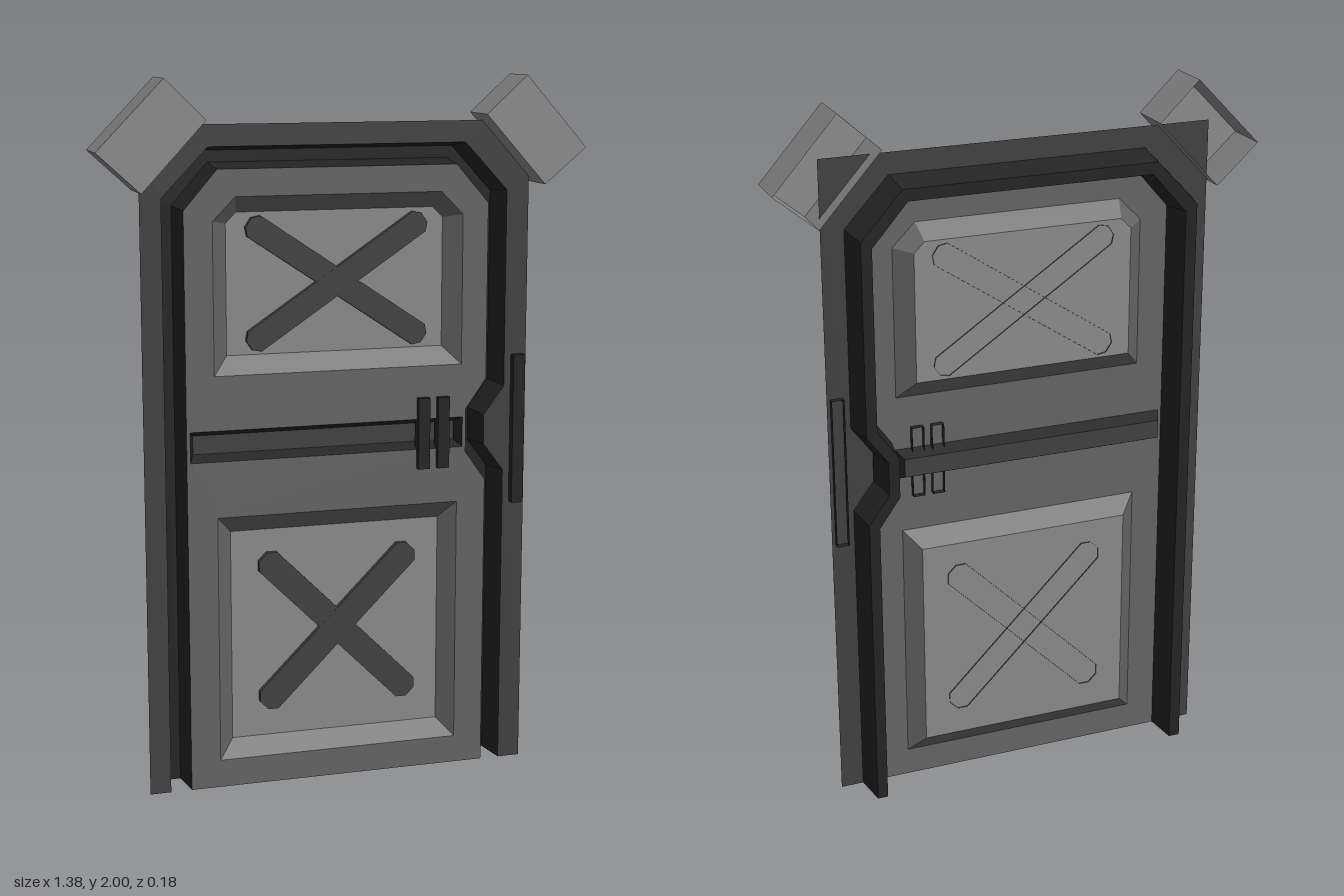
import * as THREE from 'three';

const mat = (name, color) => {
  const m = new THREE.MeshStandardMaterial({ color, side: THREE.DoubleSide });
  m.name = name;
  return m;
};

// Wall of quads between two matching outlines at two depths
function band(a, za, b, zb, closed = true) {
  const pos = [];
  const n = a.length;
  for (let i = 0; i < (closed ? n : n - 1); i++) {
    const j = (i + 1) % n;
    pos.push(...a[i], za, ...a[j], za, ...b[j], zb);
    pos.push(...a[i], za, ...b[j], zb, ...b[i], zb);
  }
  const g = new THREE.BufferGeometry();
  g.setAttribute('position', new THREE.Float32BufferAttribute(pos, 3));
  g.computeVertexNormals();
  return g;
}

// Flat sheet with optional holes
function sheet(outline, z, holes = []) {
  const toV = (l) => l.map(([x, y]) => new THREE.Vector2(x, y));
  const s = new THREE.Shape(toV(outline));
  holes.forEach((h) => s.holes.push(new THREE.Path(toV(h))));
  return new THREE.ShapeGeometry(s).translate(0, 0, z);
}

// Counter-clockwise rectangle with optional cut top corners
function rect(x0, x1, y0, y1, c = 0) {
  return c
    ? [[x0, y0], [x1, y0], [x1, y1 - c], [x1 - c, y1], [x0 + c, y1], [x0, y1 - c]]
    : [[x0, y0], [x1, y0], [x1, y1], [x0, y1]];
}

// Bar with cut ends, turned about its centre
function barOutline(cx, cy, L, w, angle) {
  const k = w * 0.45, e = L - w * 0.55;
  const ca = Math.cos(angle), sa = Math.sin(angle);
  return [[-e, -w], [e, -w], [L, -k], [L, k], [e, w], [-e, w], [-L, k], [-L, -k]]
    .map(([x, y]) => [cx + x * ca - y * sa, cy + x * sa + y * ca]);
}

export function createModel() {
  const model = new THREE.Group();
  const pale = mat('pale grey', 0x8a8a8a);
  const mid = mat('door grey', 0x646464);
  const dark = mat('frame grey', 0x414141);
  const black = mat('near black', 0x242424);

  const add = (name, geo, material, parent = model) => {
    const m = new THREE.Mesh(geo, material);
    m.name = name;
    parent.add(m);
  };
  // Open-backed raised block
  const raised = (name, outline, z0, z1, material) => {
    const g = new THREE.Group();
    g.name = name;
    add(name + 'Sides', band(outline, z0, outline, z1), material, g);
    add(name + 'Front', sheet(outline, z1), material, g);
    model.add(g);
  };

  const Z = 0.006;
  // Groove edges, from bottom right up and over to bottom left
  const frameEdge = [[0.49, 0], [0.49, 0.875], [0.43, 0.955], [0.43, 1.04], [0.49, 1.12],
    [0.49, 1.68], [0.365, 1.815], [-0.37, 1.815], [-0.5, 1.68], [-0.5, 0]];
  const doorEdge = [[0.435, 0], [0.435, 0.85], [0.375, 0.935], [0.375, 1.06], [0.435, 1.145],
    [0.435, 1.645], [0.34, 1.755], [-0.345, 1.755], [-0.44, 1.645], [-0.44, 0]];
  const mix = (t) => frameEdge.map(([x, y], i) =>
    [x + (doorEdge[i][0] - x) * t, y + (doorEdge[i][1] - y) * t]);

  // Frame plate
  add('framePlate', sheet([[0.49, 0], [0.555, 0], [0.555, 1.875], [-0.56, 1.875], [-0.56, 0],
    ...frameEdge.slice().reverse().slice(0, -1)], Z), dark);

  // Deep groove around the door
  const g1 = mix(0.25), g2 = mix(0.8);
  add('grooveOuterWall', band(frameEdge, Z, g1, -0.092, false), black);
  add('grooveFloor', band(g1, -0.092, g2, -0.092, false), black);
  add('grooveInnerWall', band(g2, -0.092, doorEdge, Z, false), black);

  // Door sheet with recessed panels and a middle channel
  const recesses = [
    { name: 'upperPanel', o: rect(-0.36, 0.36, 1.19, 1.68, 0.065),
      i: rect(-0.315, 0.312, 1.24, 1.635, 0.03), z: -0.032, wall: mid, floor: pale },
    { name: 'lowerPanel', o: rect(-0.355, 0.35, 0.08, 0.79),
      i: rect(-0.31, 0.305, 0.13, 0.74), z: -0.032, wall: mid, floor: pale },
    { name: 'middleChannel', o: rect(-0.43, 0.365, 0.95, 1.037),
      i: rect(-0.415, 0.35, 0.967, 1.02), z: -0.03, wall: black, floor: dark },
  ];
  add('doorSheet', sheet(doorEdge, Z, recesses.map((r) => r.o)), mid);
  for (const r of recesses) {
    add(r.name + 'Bevel', band(r.o, Z, r.i, r.z), r.wall);
    add(r.name + 'Floor', sheet(r.i, r.z), r.floor);
  }

  // Crossed braces
  const braces = [
    ['upperBrace', 1.437, 0.305, 0.034, 0.59],
    ['lowerBrace', 0.442, 0.31, 0.038, Math.PI / 4],
  ];
  for (const [name, y, L, w, a] of braces) {
    raised(name + 'A', barOutline(0, y, L, w, a), -0.036, -0.016, dark);
    raised(name + 'B', barOutline(0, y, L, w, -a), -0.036, -0.0165, dark);
  }

  // Handles and side bar
  raised('innerHandle', rect(0.228, 0.262, 0.895, 1.1), -0.012, 0.024, black);
  raised('outerHandle', rect(0.286, 0.32, 0.895, 1.1), -0.012, 0.024, black);
  raised('sideBar', rect(0.51, 0.545, 0.78, 1.212), -0.012, 0.03, black);

  // Corner blocks
  raised('rightCornerBlock', [[-0.57, 1.70], [-0.392, 1.89], [-0.505, 2.0], [-0.69, 1.81]],
    -0.042, 0.092, pale);
  raised('leftCornerBlock', [[0.57, 1.70], [0.69, 1.80], [0.512, 2.0], [0.395, 1.895]],
    -0.042, 0.092, pale);

  return model;
}
